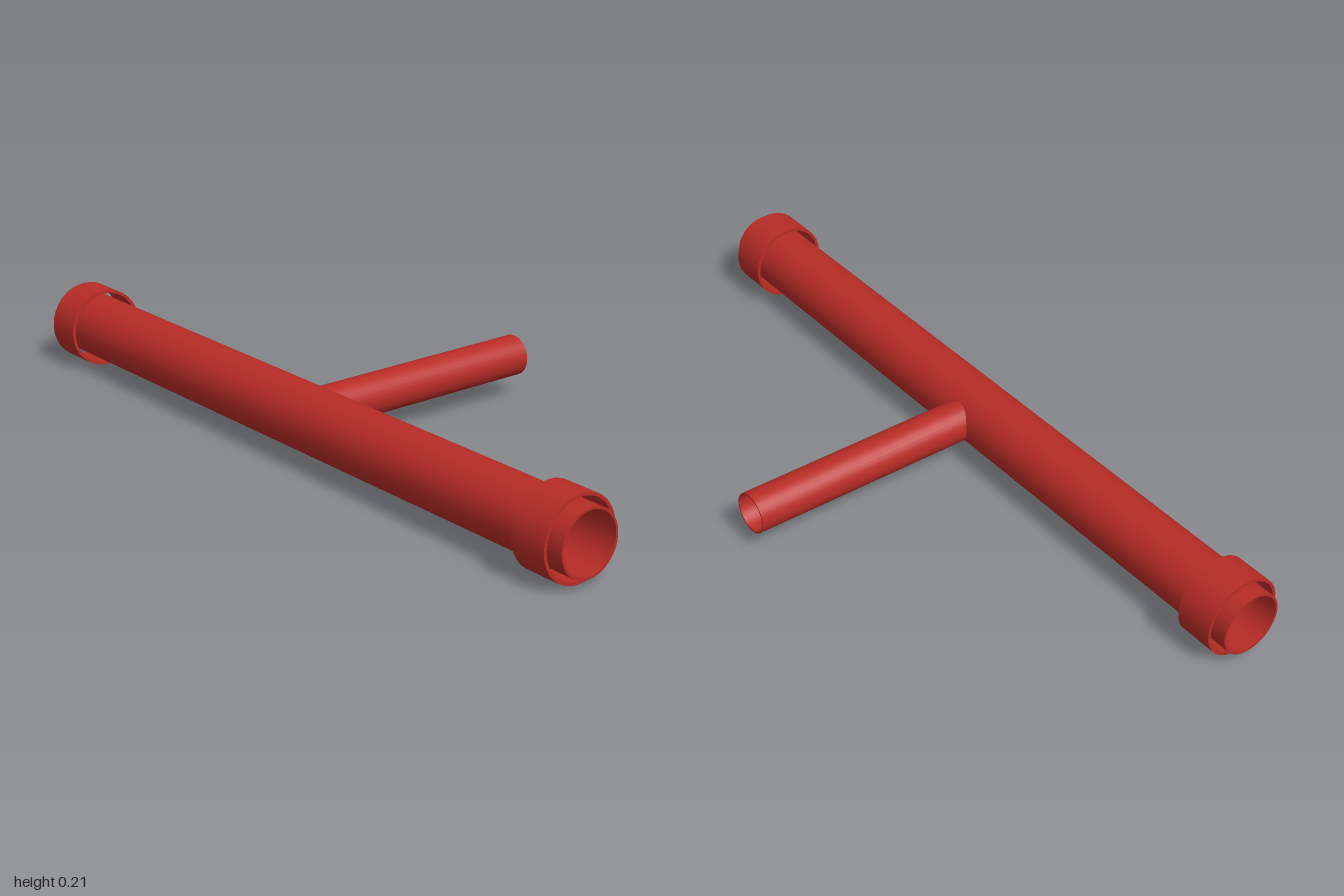
import * as THREE from 'three';
import { mergeGeometries } from 'three/addons/utils/BufferGeometryUtils.js';

const SEGMENTS = 32;
const AXIS_Y = 0.106;
const AXIS_Z = 0.298;

// Hollow tube along y: outer wall, end rims and bore, with sharp edges between them
function tubeGeometry(outer, inner, length) {
  const h = length / 2;
  const loop = [[outer, -h], [outer, h], [inner, h], [inner, -h]].map(([r, y]) => new THREE.Vector2(r, y));
  const walls = loop.map((p, i) => new THREE.LatheGeometry([p, loop[(i + 1) % loop.length]], SEGMENTS));
  return mergeGeometries(walls);
}

export function createModel() {
  const group = new THREE.Group();
  group.name = 'teePipe';
  const red = new THREE.MeshStandardMaterial({ color: 0xb82c26 });

  const addTube = (name, geometry, x, z) => {
    const mesh = new THREE.Mesh(geometry, red);
    mesh.name = name;
    mesh.position.set(x, AXIS_Y, z);
    group.add(mesh);
  };

  // Long main pipe, open at both ends
  addTube('mainPipe', tubeGeometry(0.082, 0.076, 2).rotateZ(Math.PI / 2), 0, AXIS_Z);

  // Loose collar around each end, with a gap to the pipe
  const collar = tubeGeometry(0.104, 0.096, 0.1).rotateZ(Math.PI / 2);
  addTube('leftCollar', collar, 0.92, AXIS_Z);
  addTube('rightCollar', collar, -0.92, AXIS_Z);

  // Branch pipe, running from the main pipe's axis to the back
  const backZ = -0.402;
  addTube('branchPipe', tubeGeometry(0.053, 0.049, AXIS_Z - backZ).rotateX(Math.PI / 2), 0, (AXIS_Z + backZ) / 2);

  return group;
}
